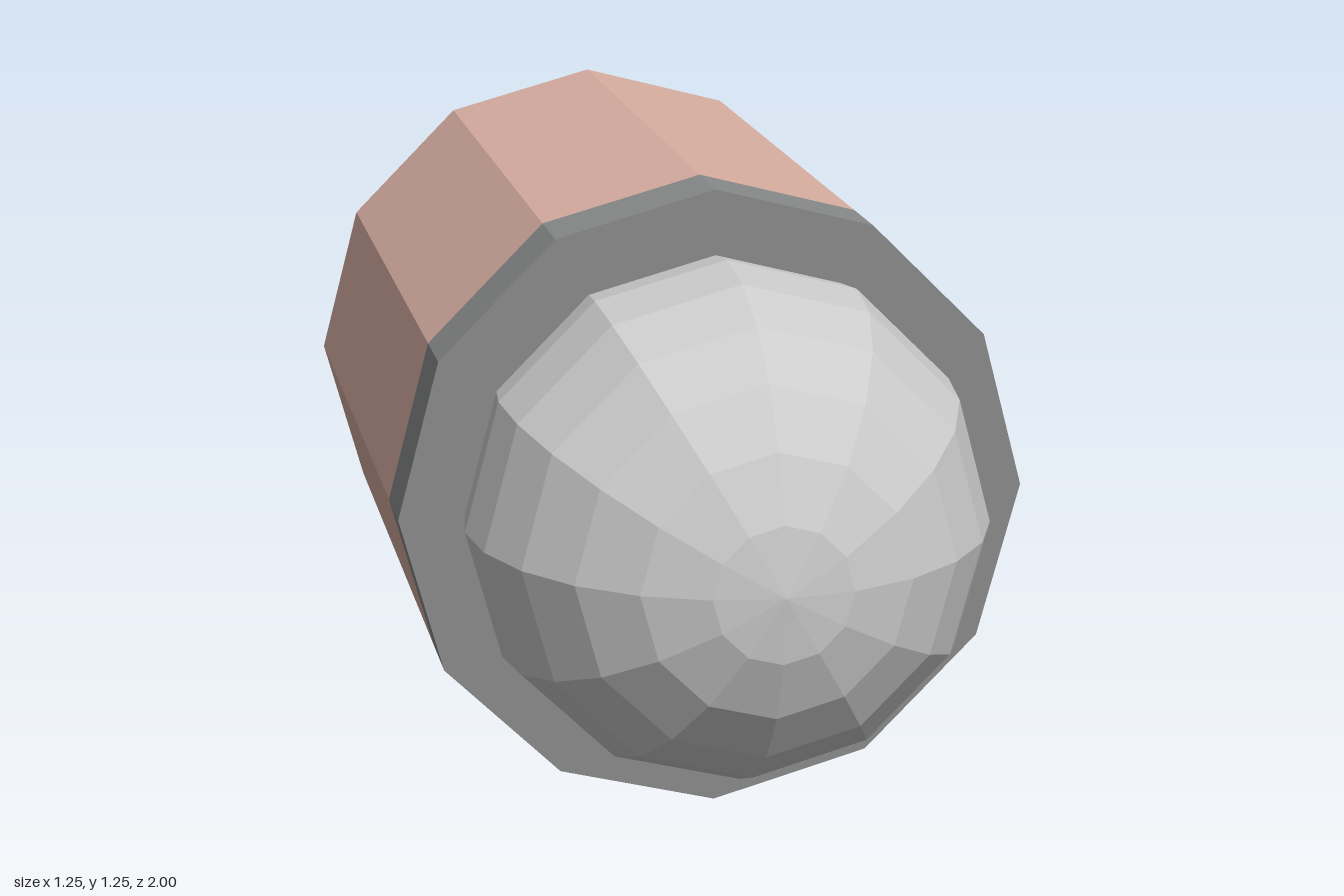
import * as THREE from 'three';

const SIDES = 12;
const AXIS_Y = 0.623; // height of the long axis, equal to the body radius

function addPart(group, name, geometry, color, z) {
  const material = new THREE.MeshStandardMaterial({ color, flatShading: true });
  const mesh = new THREE.Mesh(geometry.rotateX(Math.PI / 2), material);
  mesh.name = name;
  mesh.position.set(0, AXIS_Y, z);
  group.add(mesh);
}

export function createModel() {
  const group = new THREE.Group();
  group.name = 'roundNosedCylinder';

  // Main barrel, closed at the back
  const barrelLength = 1.245;
  addPart(group, 'barrel',
    new THREE.CylinderGeometry(AXIS_Y, AXIS_Y, barrelLength, SIDES),
    0xd8aea2, -1 + barrelLength / 2);

  // Dark collar at the front of the barrel
  const collarLength = 0.147;
  addPart(group, 'collar',
    new THREE.CylinderGeometry(AXIS_Y, AXIS_Y, collarLength, SIDES),
    0x888a89, -1 + barrelLength + collarLength / 2);

  // Faceted ball seated in the collar, pole facing forward
  addPart(group, 'ball', new THREE.SphereGeometry(0.508, SIDES, SIDES), 0xcccccc, 0.492);

  return group;
}
